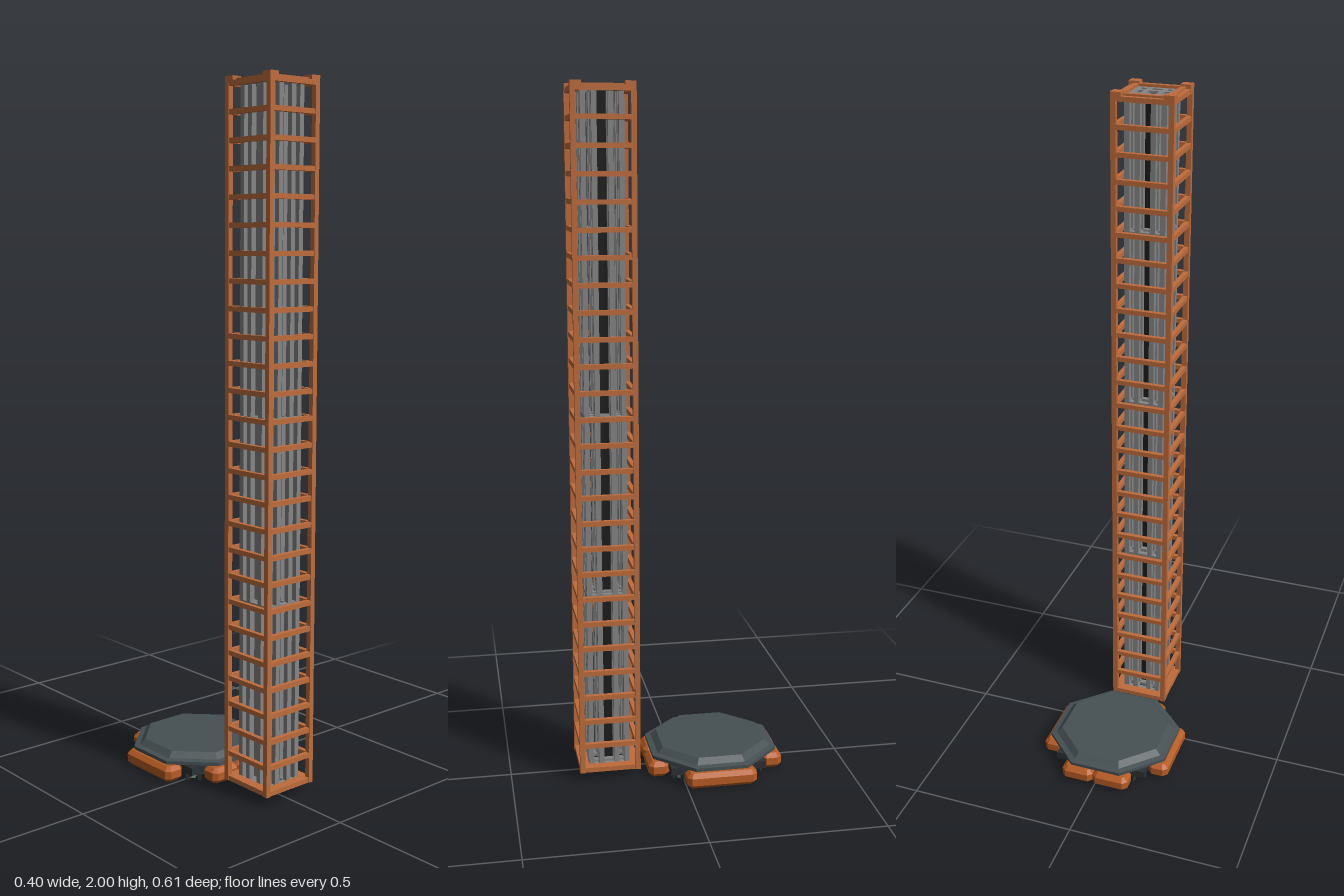
import * as THREE from 'three';
import { mergeGeometries } from 'three/addons/utils/BufferGeometryUtils.js';

const mat = (name, color) => new THREE.MeshStandardMaterial({ name, color });

const box = (w, h, d, x, y, z) => new THREE.BoxGeometry(w, h, d).translate(x, y, z);

function part(name, geometries, material) {
  const mesh = new THREE.Mesh(mergeGeometries(geometries), material);
  mesh.name = name;
  return mesh;
}

// Block with chamfered edges on all sides
function chamferBlock(w, h, d, c, x, y, z) {
  const a = w / 2 - c, b = d / 2 - c, k = 0.006;
  const s = new THREE.Shape([
    [-a + k, -b], [a - k, -b], [a, -b + k], [a, b - k],
    [a - k, b], [-a + k, b], [-a, b - k], [-a, -b + k],
  ].map(p => new THREE.Vector2(...p)));
  return new THREE.ExtrudeGeometry(s, {
    depth: h - 2 * c, bevelEnabled: true, bevelSize: c, bevelThickness: c, bevelSegments: 1,
  }).translate(0, 0, -(h - 2 * c) / 2).rotateX(-Math.PI / 2).translate(x, y, z);
}

// Eight-sided turned solid with flats facing the axes; profile is [apothem, y]
function octagon(profile) {
  const k = 1 / Math.cos(Math.PI / 8);
  const pts = profile.map(([r, y]) => new THREE.Vector2(r * k, y));
  const g = new THREE.LatheGeometry(pts, 8, Math.PI / 8).toNonIndexed();
  g.computeVertexNormals();
  return g;
}

// Four rails forming a square ring
function ring(outer, t, h, y) {
  const c = outer - t / 2, inner = 2 * (outer - t);
  return [-1, 1].flatMap(s => [
    box(2 * outer, h, t, 0, y, s * c),
    box(t, h, inner, s * c, y, 0),
  ]);
}

function createTower(orange, grey, black) {
  const tower = new THREE.Group();
  tower.name = 'tower';
  const bottom = 0.031, top = 2, T = 0.015;
  const posts = [], caps = [], rails = [], collars = [], shafts = [], grids = [];

  for (const x of [-1, 1]) for (const z of [-1, 1]) {
    posts.push(box(T, top - bottom, T, x * 0.082, (top + bottom) / 2, z * 0.082));
    caps.push(box(0.03, 0.02, 0.03, x * 0.0745, top - 0.01, z * 0.0745));
  }

  // Evenly spaced ladder rings
  for (let i = 0; i < 27; i++) rails.push(...ring(0.0885, 0.0135, 0.014, 0.039 + i * 0.0747));
  collars.push(...ring(0.075, T, 0.016, 1.986), ...ring(0.075, T, 0.014, 0.039));

  // Inner bundle of slim shafts with tie grids
  const rows = [-0.0525, -0.0225, 0.0225, 0.0525];
  for (const x of rows) for (const z of rows) shafts.push(box(T, 1.945, T, x, 1.008, z));
  for (const i of [0, 7, 14, 21, 26]) {
    const y = 0.039 + i * 0.0747;
    for (const r of rows) grids.push(box(0.12, 0.01, T, 0, y, r), box(T, 0.01, 0.12, r, y, 0));
  }

  tower.add(
    part('cornerPosts', posts, orange),
    part('cornerCaps', caps, orange),
    part('ladderRails', rails, orange),
    part('endCollars', collars, orange),
    part('innerShafts', shafts, grey),
    part('tieGrids', grids, grey),
    part('centralRod', [box(0.03, 1.945, 0.03, 0, 1.008, 0)], black),
  );
  tower.position.z = 0.2125;
  return tower;
}

function createPlatform(orange, slate, dark, grey) {
  const platform = new THREE.Group();
  platform.name = 'platform';

  // Stepped octagonal deck
  platform.add(part('deck', [octagon([
    [0, 0.048], [0.172, 0.048], [0.187, 0.054], [0.187, 0.064],
    [0.171, 0.067], [0.155, 0.083], [0, 0.083],
  ])], slate));
  platform.add(part('underside', [box(0.285, 0.022, 0.285, 0, 0.038, 0)], dark));

  // Floats on all four sides; the front and back ones are split in two
  const floats = [];
  const h = 0.046, y = 0.028, w = 0.062, c = 0.012, off = 0.171;
  for (const s of [-1, 1]) floats.push(chamferBlock(w, h, 0.208, c, s * off, y, 0));
  for (const [s, cut] of [[1, -0.009], [-1, 0.007]]) {
    for (const [a, b] of [[-0.105, cut], [cut, 0.105]]) {
      floats.push(chamferBlock(b - a, h, w, c, (a + b) / 2, y, s * off));
    }
  }
  platform.add(part('floats', floats, orange));

  // Short legs at the diagonal corners
  const legs = [], plates = [];
  for (let i = 0; i < 4; i++) {
    const turn = Math.PI / 4 + i * Math.PI / 2;
    for (const s of [-1, 1]) legs.push(box(0.01, 0.05, 0.012, s * 0.018, 0.028, 0.168).rotateY(turn));
    legs.push(box(0.046, 0.012, 0.03, 0, 0.045, 0.165).rotateY(turn));
    plates.push(box(0.012, 0.04, 0.01, 0, 0.026, 0.16).rotateY(turn));
  }
  platform.add(part('legs', legs, dark), part('legPlates', plates, grey));
  platform.position.z = -0.1025;
  return platform;
}

export function createModel() {
  const towerOrange = mat('towerOrange', 0xbe6c3c);
  const floatOrange = mat('floatOrange', 0xb85c24);
  const slate = mat('slate', 0x465053);
  const dark = mat('darkSteel', 0x2b3133);
  const grey = mat('grey', 0x858585);
  const black = mat('black', 0x1c1c1c);

  const model = new THREE.Group();
  model.name = 'towerAndPlatform';
  model.add(createTower(towerOrange, grey, black), createPlatform(floatOrange, slate, dark, grey));
  return model;
}
